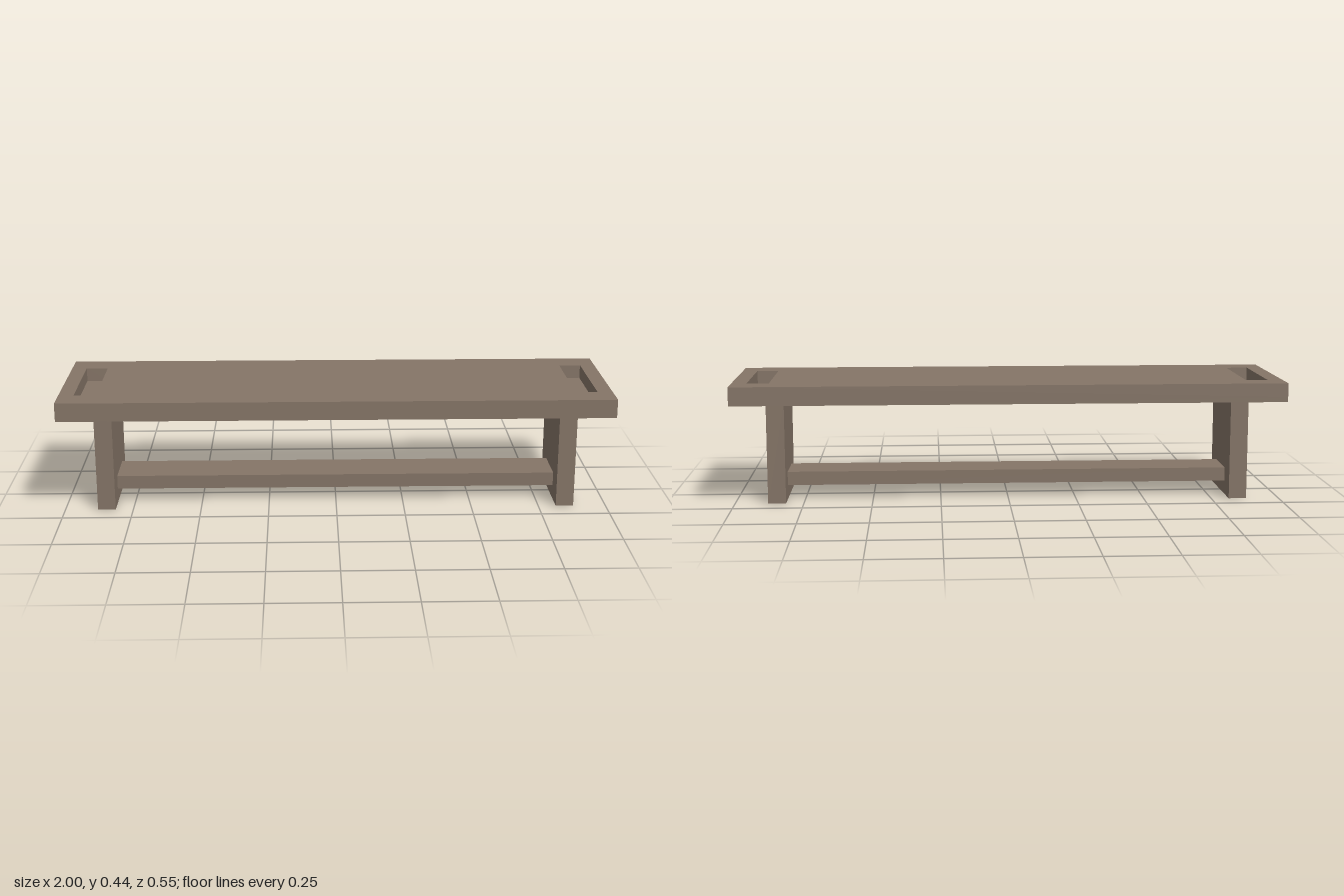
import * as THREE from 'three';

export function createModel() {
  const model = new THREE.Group();
  const wood = new THREE.MeshStandardMaterial({ color: 0x857567 });

  const add = (name, geometry, x, y, z = 0, parent = model) => {
    const mesh = new THREE.Mesh(geometry, wood);
    mesh.name = name;
    mesh.position.set(x, y, z);
    parent.add(mesh);
    return mesh;
  };

  const rectangle = (Type, cx, w, h) => new Type([
    new THREE.Vector2(cx - w / 2, -h / 2),
    new THREE.Vector2(cx + w / 2, -h / 2),
    new THREE.Vector2(cx + w / 2, h / 2),
    new THREE.Vector2(cx - w / 2, h / 2),
  ]);

  // Tabletop: slotted upper layer over a thin solid base, giving blind recesses
  const top = new THREE.Group();
  top.name = 'tabletop';
  model.add(top);
  const under = 0.375, floor = 0.393, upper = 0.443, depth = 0.55;
  const outline = rectangle(THREE.Shape, 0, 2, depth);
  for (const side of [-1, 1]) {
    outline.holes.push(rectangle(THREE.Path, side * 0.905, 0.08, 0.356));
  }
  const slotted = new THREE.ExtrudeGeometry(outline, { depth: upper - floor, bevelEnabled: false });
  slotted.rotateX(-Math.PI / 2);
  add('slottedTop', slotted, 0, floor, 0, top);
  add('topBase', new THREE.BoxGeometry(2, floor - under, depth), 0, (under + floor) / 2, 0, top);

  // Slab legs
  for (const [name, side] of [['leftLeg', 1], ['rightLeg', -1]]) {
    add(name, new THREE.BoxGeometry(0.065, under, 0.338), side * 0.8475, under / 2);
  }

  // Flat stretcher between the legs
  add('stretcher', new THREE.BoxGeometry(1.63, 0.05, 0.167), 0, 0.075);

  return model;
}
